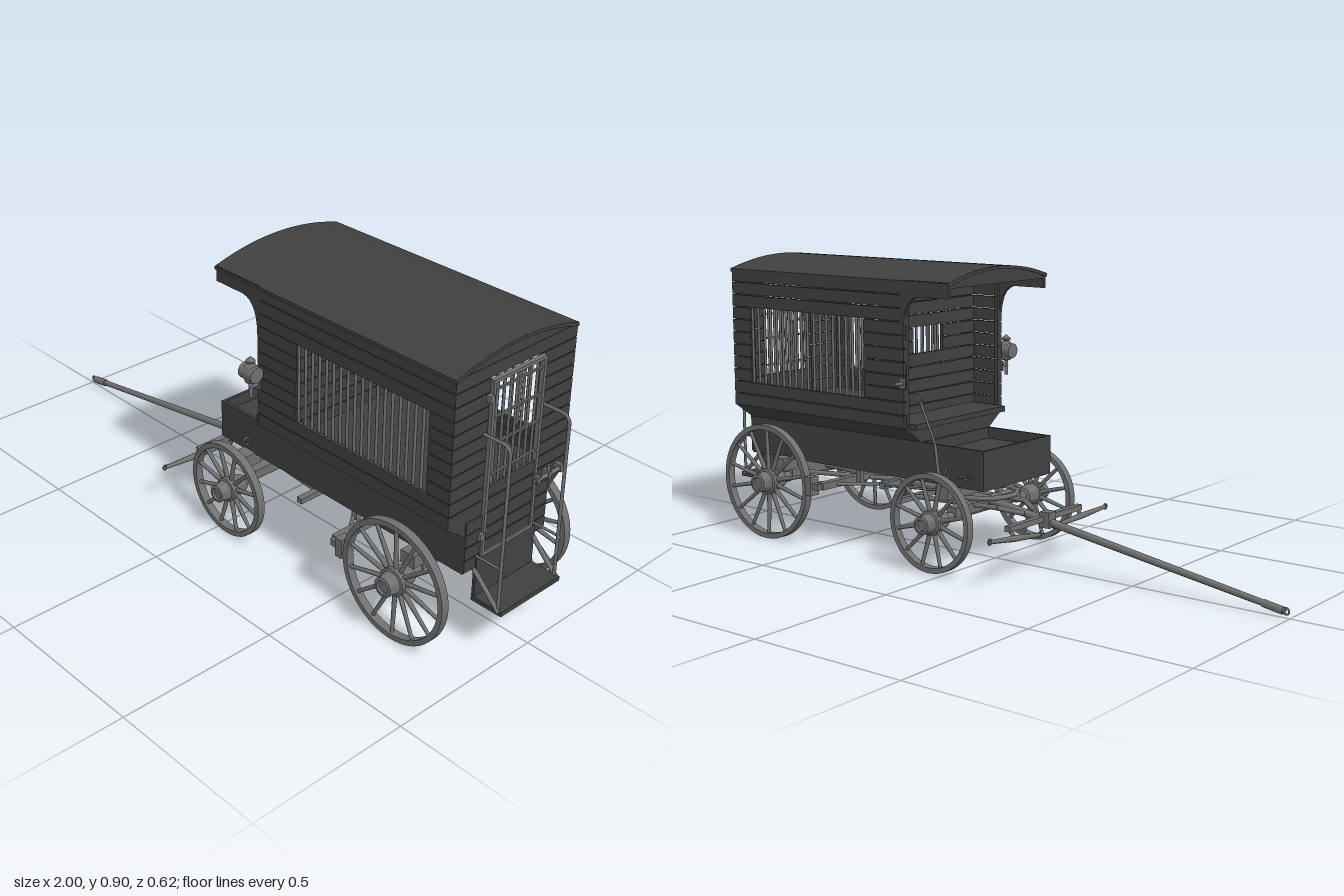
import * as THREE from 'three';
import { toCreasedNormals } from 'three/addons/utils/BufferGeometryUtils.js';

const wood = new THREE.MeshStandardMaterial({ color: 0x404040, side: THREE.DoubleSide });
const iron = new THREE.MeshStandardMaterial({ color: 0x707070 });
const V = (x, y, z) => new THREE.Vector3(x, y, z);

function add(parent, name, geo, mat) {
  const m = new THREE.Mesh(geo, mat);
  m.name = name;
  parent.add(m);
  return m;
}
function group(parent, name) {
  const g = new THREE.Group();
  g.name = name;
  parent.add(g);
  return g;
}
function box(parent, name, mat, x0, x1, y0, y1, z0, z1) {
  const m = add(parent, name, new THREE.BoxGeometry(x1 - x0, y1 - y0, z1 - z0), mat);
  m.position.set((x0 + x1) / 2, (y0 + y1) / 2, (z0 + z1) / 2);
  return m;
}
// Round bar between two points, r1 at the start and r2 at the end
function rod(parent, name, a, b, r1, r2 = r1, mat = iron, sides = 8) {
  const m = add(parent, name, new THREE.CylinderGeometry(r2, r1, a.distanceTo(b), sides), mat);
  m.position.copy(a).lerp(b, 0.5);
  m.quaternion.setFromUnitVectors(V(0, 1, 0), b.clone().sub(a).normalize());
  return m;
}
function lathe(profile, seg = 24) {
  return toCreasedNormals(new THREE.LatheGeometry(profile.map(p => new THREE.Vector2(...p)), seg), 0.6);
}
// Shape drawn in (z, y), extruded along x from x0 to x1
function prism(parent, name, shape, x0, x1, mat = wood) {
  const geo = new THREE.ExtrudeGeometry(shape, { depth: x1 - x0, bevelEnabled: false, curveSegments: 24 });
  const m = add(parent, name, toCreasedNormals(geo, 0.5), mat);
  m.rotation.y = Math.PI / 2;
  m.position.x = x0;
  return m;
}
// Rows of boards with small gaps and an optional opening [u0, u1, v0, v1]
function plankWall(parent, name, along, at, u0, u1, hole, y0 = 0.42, rows = 11) {
  const g = group(parent, name), t = 0.006;
  for (let i = 0; i < rows; i++) {
    const a = y0 + i * 0.04, b = a + 0.037, mid = a + 0.02;
    const cut = hole && mid > hole[2] && mid < hole[3];
    for (const [p, q] of cut ? [[u0, hole[0]], [hole[1], u1]] : [[u0, u1]]) {
      if (along === 'x') box(g, 'board', wood, p, q, a, b, at - t, at + t);
      else box(g, 'board', wood, at - t, at + t, a, b, p, q);
    }
  }
}

// Arched outline: edge at y 0.86, crown at y 0.897
function arch(lift, base, half = 0.238) {
  const s = new THREE.Shape();
  s.moveTo(-half, base);
  s.lineTo(-half, 0.86 + lift);
  s.quadraticCurveTo(0, 0.934 + lift, half, 0.86 + lift);
  s.lineTo(half, base);
  return s;
}

function buildCabin(root) {
  const g = group(root, 'cabin');
  // Lower body, open footwell at the front
  box(g, 'lowerBody', wood, -0.085, 0.89, 0.25, 0.335, -0.165, 0.165);
  box(g, 'bodyFloor', wood, 0.15, 0.89, 0.335, 0.37, -0.165, 0.165);
  for (const s of [-1, 1]) box(g, 'footwellSide', wood, -0.085, 0.15, 0.335, 0.37, s * 0.16 - 0.005, s * 0.16 + 0.005);
  box(g, 'footBoard', wood, -0.085, -0.075, 0.335, 0.37, -0.165, 0.165);
  const flare = new THREE.Shape([[-0.165, 0.37], [0.165, 0.37], [0.235, 0.42], [-0.235, 0.42]].map(p => new THREE.Vector2(...p)));
  prism(g, 'flaredSill', flare, 0.155, 0.89);
  box(g, 'driverSeat', wood, 0.13, 0.27, 0.415, 0.432, -0.215, 0.215);

  // Walls
  for (const s of [-1, 1]) {
    plankWall(g, 'sideWall', 'x', s * 0.229, 0.16, 0.89, [0.32, 0.81, 0.5, 0.74]);
    for (const x of [0.165, 0.305, 0.82, 0.882]) box(g, 'wallPost', wood, x - 0.006, x + 0.006, 0.42, 0.862, s * 0.218 - 0.006, s * 0.218 + 0.006);
    for (let i = 0; i <= 18; i++) {
      const x = 0.32 + 0.49 * i / 18;
      rod(g, 'windowBar', V(x, 0.49, s * 0.225), V(x, 0.75, s * 0.225), 0.0045);
    }
    // Curved hood cheek
    const cheek = new THREE.Shape();
    cheek.moveTo(-0.012, 0.862);
    cheek.lineTo(-0.012, 0.815);
    cheek.lineTo(0.1, 0.815);
    cheek.quadraticCurveTo(0.155, 0.81, 0.16, 0.72);
    cheek.lineTo(0.17, 0.72);
    cheek.lineTo(0.17, 0.862);
    add(g, 'hoodCheek', new THREE.ExtrudeGeometry(cheek, { depth: 0.012, bevelEnabled: false }), wood).position.z = s * 0.229 - 0.006;
  }
  plankWall(g, 'frontWall', 'z', 0.27, -0.223, 0.223, [-0.07, 0.07, 0.62, 0.7]);
  plankWall(g, 'rearWall', 'z', 0.885, -0.235, 0.235, [-0.103, 0.103, 0.42, 0.82]);
  plankWall(g, 'lowerRearBoards', 'z', 0.889, -0.165, 0.165, null, 0.255, 4);
  for (let i = -2; i <= 2; i++) rod(g, 'frontWindowBar', V(0.27, 0.61, i * 0.025), V(0.27, 0.71, i * 0.025), 0.004);
  for (const x of [0.264, 0.88]) prism(g, 'gable', arch(-0.004, 0.855, 0.234), x, x + 0.01);

  // Arched roof shell
  const roof = arch(0, 0.85);
  roof.lineTo(0.232, 0.85);
  roof.quadraticCurveTo(0, 0.926, -0.232, 0.85);
  prism(g, 'roof', roof, -0.015, 0.893);
  prism(g, 'hoodGable', arch(-0.002, 0.845, 0.234), -0.012, -0.002);
}

function buildDoor(root) {
  const g = group(root, 'rearDoor');
  for (const s of [-1, 1]) {
    box(g, 'doorStile', iron, 0.888, 0.902, 0.285, 0.815, s * 0.099 - 0.005, s * 0.099 + 0.005);
    // Handrail beside the door
    const path = new THREE.CurvePath();
    const pts = [V(0.89, 0.662, s * 0.117), V(0.965, 0.662, s * 0.117), V(0.98, 0.647, s * 0.117), V(0.98, 0.15, s * 0.117)];
    for (let i = 0; i < 3; i++) path.add(new THREE.LineCurve3(pts[i], pts[i + 1]));
    add(g, 'handrail', new THREE.TubeGeometry(path, 60, 0.005, 8), iron);
    rod(g, 'handrailStay', V(0.89, 0.29, s * 0.117), V(0.98, 0.29, s * 0.117), 0.004);
  }
  for (const y of [0.29, 0.81]) box(g, 'doorRail', iron, 0.888, 0.902, y - 0.005, y + 0.005, -0.104, 0.104);
  box(g, 'doorPanel', wood, 0.886, 0.897, 0.29, 0.5, -0.095, 0.095);
  for (const y of [0.33, 0.37, 0.415, 0.46]) box(g, 'doorBoardSeam', wood, 0.897, 0.899, y - 0.002, y + 0.002, -0.095, 0.095);
  for (let i = -3; i <= 3; i++) rod(g, 'doorBar', V(0.893, 0.49, i * 0.026), V(0.893, 0.81, i * 0.026), 0.004);
  for (const y of [0.53, 0.62, 0.7, 0.78]) box(g, 'crossBar', iron, 0.89, 0.896, y - 0.003, y + 0.003, -0.095, 0.095);
  for (const y of [0.35, 0.765]) box(g, 'hinge', iron, 0.89, 0.905, y - 0.01, y + 0.01, 0.1, 0.118);
  // Bolt and latch
  rod(g, 'bolt', V(0.908, 0.44, -0.09), V(0.908, 0.44, -0.2), 0.006);
  for (const z of [-0.1, -0.145, -0.195]) box(g, 'boltKeeper', iron, 0.89, 0.915, 0.43, 0.452, z - 0.006, z + 0.006);
  rod(g, 'boltHandle', V(0.908, 0.44, -0.145), V(0.908, 0.47, -0.145), 0.005);

  // Boarding step
  box(g, 'stepBoard', wood, 0.89, 0.995, 0.148, 0.162, -0.122, 0.122);
  const back = box(g, 'stepBack', wood, 0.889, 0.899, 0.15, 0.285, -0.12, 0.12);
  back.name = 'stepBack';
  for (const s of [-1, 1]) rod(g, 'stepBrace', V(0.89, 0.25, s * 0.12), V(0.985, 0.155, s * 0.12), 0.007);
}

// Spoked wheel lying in the xy plane, outer side towards +z
function wheel(root, name, x, y, side, r, spokes) {
  const g = group(root, name), w = 0.0125, ri = r - 0.016;
  g.position.set(x, y, side * 0.253);
  if (side < 0) g.rotation.y = Math.PI;
  add(g, 'rim', lathe([[r, -w], [r, w], [ri, w], [ri, -w], [r, -w]], 48), iron).rotation.x = Math.PI / 2;
  const k = r / 0.185;
  const hub = [[0, -0.095], [0.016, -0.095], [0.018, -0.06], [0.028, -0.055], [0.036, -0.03], [0.036, -0.012], [0.042, -0.01],
    [0.042, 0.01], [0.034, 0.012], [0.03, 0.03], [0.03, 0.045], [0.02, 0.047], [0.018, 0.04], [0, 0.04]];
  add(g, 'hub', lathe(hub.map(([a, b]) => [a * (0.5 + k / 2), b])), iron).rotation.x = Math.PI / 2;
  for (let i = 0; i < spokes; i++) {
    const a = (i + 0.5) / spokes * Math.PI * 2, c = Math.cos(a), s = Math.sin(a);
    rod(g, 'spoke', V(0.03 * c, 0.03 * s, -0.006), V((ri + 0.002) * c, (ri + 0.002) * s, 0), 0.0075, 0.0055);
  }
}

function buildRunningGear(root) {
  const g = group(root, 'runningGear');
  for (const s of [-1, 1]) {
    wheel(g, 'frontWheel', 0.043, 0.155, s, 0.15, 12);
    wheel(g, 'rearWheel', 0.73, 0.187, s, 0.185, 14);
    rod(g, 'frontHound', V(-0.13, 0.165, s * 0.025), V(-0.06, 0.18, s * 0.065), 0.008);
    rod(g, 'frontHoundRail', V(-0.06, 0.18, s * 0.065), V(0.26, 0.175, s * 0.085), 0.008);
    rod(g, 'rearHound', V(0.4, 0.195, 0), V(0.75, 0.2, s * 0.13), 0.008);
    // Spring blocks, side steps and brake shoes
    for (const x of [0.043, 0.73]) box(g, 'springBlock', iron, x - 0.025, x + 0.025, 0.215, 0.255, s * 0.175 - 0.03, s * 0.175 + 0.03);
    const loop = add(g, 'stakeRing', new THREE.TorusGeometry(0.012, 0.003, 6, 16), iron);
    loop.position.set(0.043, 0.29, s * 0.178);
    loop.rotation.y = Math.PI / 2;
    box(g, 'brakeShoe', iron, 0.52, 0.545, 0.17, 0.23, s * 0.253 - 0.018, s * 0.253 + 0.018);
    box(g, 'brakeArm', iron, 0.495, 0.522, 0.19, 0.21, s * 0.24 - 0.025, s * 0.24 + 0.025);
    rod(g, 'brakeRod', V(0.38, 0.19, s * 0.04), V(0.5, 0.2, s * 0.2), 0.006);
    box(g, 'brakeHanger', iron, 0.44, 0.46, 0.19, 0.255, s * 0.12 - 0.008, s * 0.12 + 0.008);
  }
  for (const [x, y] of [[0.043, 0.155], [0.73, 0.187]]) {
    rod(g, 'axle', V(x, y, -0.2), V(x, y, 0.2), 0.012);
    box(g, 'axleBed', iron, x - 0.018, x + 0.018, y, y + 0.03, -0.16, 0.16);
    box(g, 'bolster', iron, x - 0.02, x + 0.02, 0.215, 0.25, -0.2, 0.2);
  }
  const ring = add(g, 'turntable', new THREE.TorusGeometry(0.1, 0.008, 8, 32), iron);
  ring.position.set(0.043, 0.205, 0);
  ring.rotation.x = Math.PI / 2;
  rod(g, 'perch', V(0.03, 0.185, 0), V(0.74, 0.205, 0), 0.012);
  box(g, 'swayBar', iron, 0.245, 0.265, 0.165, 0.182, -0.16, 0.16);
  box(g, 'brakeBeam', iron, 0.485, 0.51, 0.19, 0.212, -0.25, 0.25);
  box(g, 'brakeCrossBar', iron, 0.375, 0.395, 0.18, 0.2, -0.09, 0.09);
  rod(g, 'brakePullRod', V(0.06, 0.24, -0.19), V(0.385, 0.19, -0.08), 0.004);
  // Brake lever
  rod(g, 'brakeLever', V(0.05, 0.24, -0.2), V(0.07, 0.38, -0.2), 0.005);
  rod(g, 'brakeLever', V(0.07, 0.38, -0.2), V(0.125, 0.5, -0.2), 0.004);
  add(g, 'leverGrip', new THREE.TorusGeometry(0.013, 0.003, 6, 16), iron).position.set(0.13, 0.515, -0.2);
  const step = add(g, 'mountingStep', new THREE.TorusGeometry(0.022, 0.003, 6, 4), iron);
  step.position.set(-0.035, 0.29, -0.19);
  step.rotation.set(Math.PI / 2, 0, Math.PI / 4);
}

function buildDraughtPole(root) {
  const g = group(root, 'draughtGear');
  rod(g, 'pole', V(-0.985, 0.021, 0), V(0.04, 0.185, 0), 0.009, 0.013, iron, 10);
  const eye = add(g, 'poleEye', new THREE.TorusGeometry(0.009, 0.003, 8, 16), iron);
  eye.position.set(-0.988, 0.021, 0);
  rod(g, 'poleTip', V(-0.98, 0.021, 0), V(-0.92, 0.031, 0), 0.012);
  box(g, 'poleClamp', iron, -0.215, -0.18, 0.13, 0.178, -0.018, 0.018);
  box(g, 'doubletree', iron, -0.195, -0.175, 0.148, 0.165, -0.18, 0.18);
  // Swingletrees with end rings
  for (const [a, b] of [[V(-0.195, 0.125, 0.04), V(-0.2, 0.137, 0.3)], [V(-0.2, 0.115, -0.045), V(-0.215, 0.148, -0.3)]]) {
    const mid = a.clone().lerp(b, 0.5);
    rod(g, 'swingletree', a, mid, 0.006, 0.01);
    rod(g, 'swingletree', mid, b, 0.01, 0.006);
    rod(g, 'swingletreeLink', mid, V(-0.185, 0.155, mid.z), 0.006);
    for (const p of [a, b]) {
      const hook = add(g, 'traceRing', new THREE.TorusGeometry(0.008, 0.0025, 6, 14), iron);
      hook.position.copy(p);
      hook.rotation.y = Math.PI / 2;
    }
  }
}

function buildLantern(root) {
  const g = group(root, 'lantern');
  const body = [[0, -0.075], [0.006, -0.075], [0.006, -0.03], [0.016, -0.026], [0.02, -0.016], [0.02, 0.02], [0.014, 0.03],
    [0.008, 0.033], [0.014, 0.037], [0.014, 0.042], [0.005, 0.05], [0, 0.055]];
  add(g, 'lanternBody', lathe(body), iron).position.set(0.165, 0.6, 0.265);
  rod(g, 'lanternLens', V(0.138, 0.603, 0.265), V(0.192, 0.603, 0.265), 0.024, 0.024, iron, 20);
  // Brackets on both walls
  for (const s of [-1, 1]) {
    rod(g, 'lanternBracket', V(0.165, 0.556, s * 0.23), V(0.165, 0.556, s * 0.27), 0.005);
    box(g, 'bracketPlate', iron, 0.155, 0.175, 0.54, 0.572, s * 0.236 - 0.003, s * 0.236 + 0.003);
  }
}

export function createModel() {
  const root = new THREE.Group();
  root.name = 'barredWagon';
  buildCabin(root);
  buildDoor(root);
  buildRunningGear(root);
  buildDraughtPole(root);
  buildLantern(root);
  return root;
}
